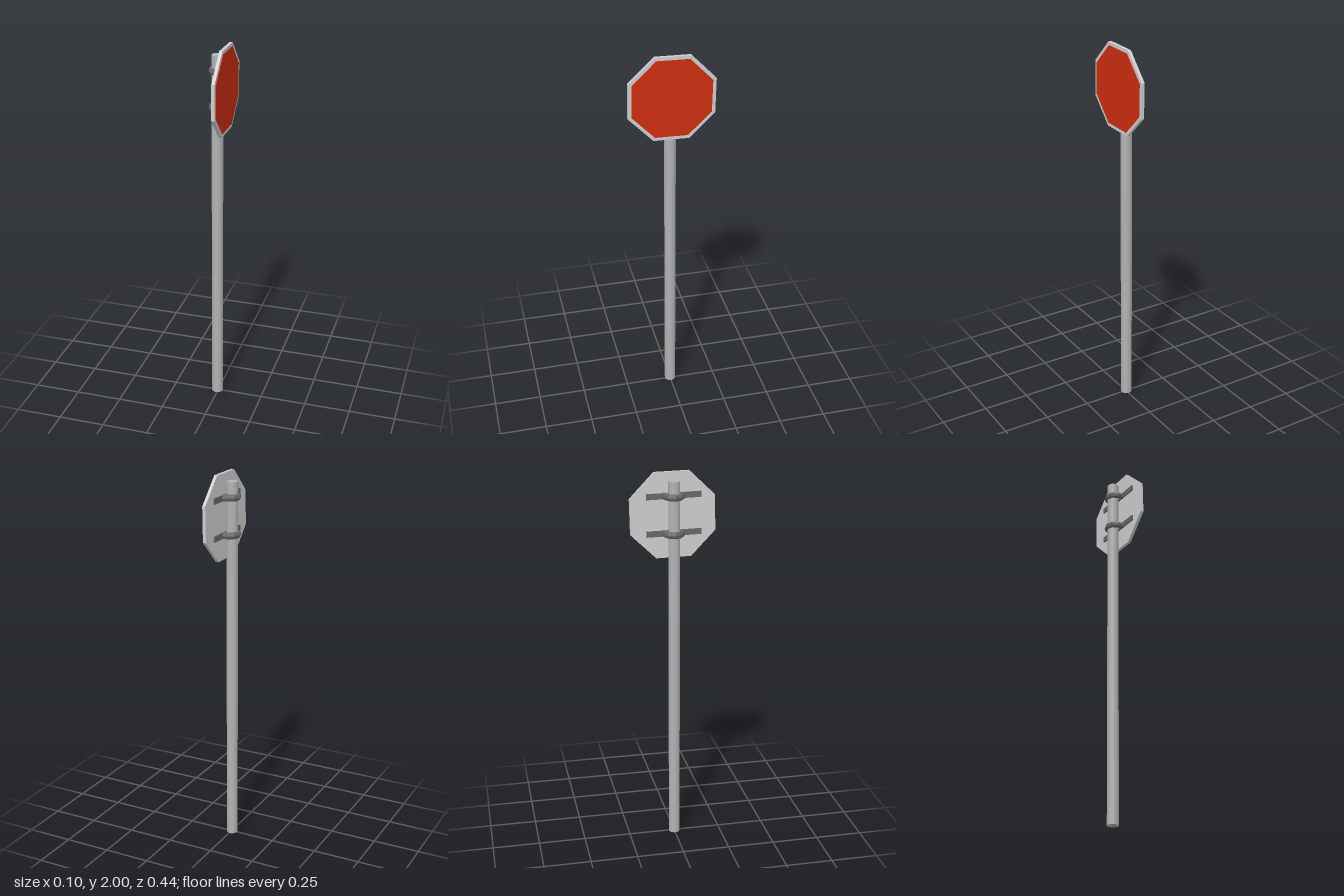
import * as THREE from 'three';

const mat = (name, color) => {
  const m = new THREE.MeshStandardMaterial({ color });
  m.name = name;
  return m;
};

export function createModel() {
  const model = new THREE.Group();
  model.name = 'octagonalRoadSign';
  const poleGrey = mat('poleGrey', 0xb2b2b2);
  const panelGrey = mat('panelGrey', 0xcfcfcf);
  const signRed = mat('signRed', 0xd02e10);
  const clampGrey = mat('clampGrey', 0x686868);
  clampGrey.flatShading = true;

  const add = (parent, name, geometry, material, x, y, z) => {
    const mesh = new THREE.Mesh(geometry, material);
    mesh.name = name;
    mesh.position.set(x, y, z);
    parent.add(mesh);
    return mesh;
  };

  // Octagonal plate lying across x, flat edge up, measured to its flat sides
  const octagon = (apothem, thickness) => {
    const r = apothem / Math.cos(Math.PI / 8);
    return new THREE.CylinderGeometry(r, r, thickness, 8)
      .toNonIndexed()
      .rotateY(Math.PI / 8)
      .rotateZ(-Math.PI / 2);
  };
  const flat = (geometry) => {
    geometry.computeVertexNormals();
    return geometry;
  };

  // Pole
  add(model, 'pole', new THREE.CylinderGeometry(0.03, 0.03, 1.955, 20), poleGrey, -0.004, 0.9775, 0);

  // Sign head, very slightly crooked on its pole
  const head = new THREE.Group();
  head.name = 'signHead';
  head.position.set(0, 1.778, 0);
  head.rotation.x = -0.022;
  model.add(head);
  add(head, 'panel', flat(octagon(0.22, 0.0165)), panelGrey, 0.0383, 0, 0);
  add(head, 'redFace', flat(octagon(0.2025, 0.002)), signRed, 0.0472, 0, 0);

  // U-shaped clamps around the pole, each with a bar behind the panel
  const uPath = new THREE.CatmullRomCurve3([
    [0.031, 0.046], [-0.003, 0.042], [-0.027, 0.026], [-0.036, 0],
    [-0.027, -0.026], [-0.003, -0.042], [0.031, -0.046],
  ].map(([x, z]) => new THREE.Vector3(x, 0, z)));
  for (const [label, y] of [['upper', 1.877], ['lower', 1.686]]) {
    const clamp = add(model, label + 'Clamp', new THREE.TubeGeometry(uPath, 6, 0.0135, 8), clampGrey, 0, y, 0);
    clamp.scale.y = 1.3;
    const bar = add(model, label + 'Bar', new THREE.BoxGeometry(0.008, 0.03, 0.284), clampGrey, 0.027, y, 0.005);
    bar.rotation.x = -0.022;
  }
  return model;
}
